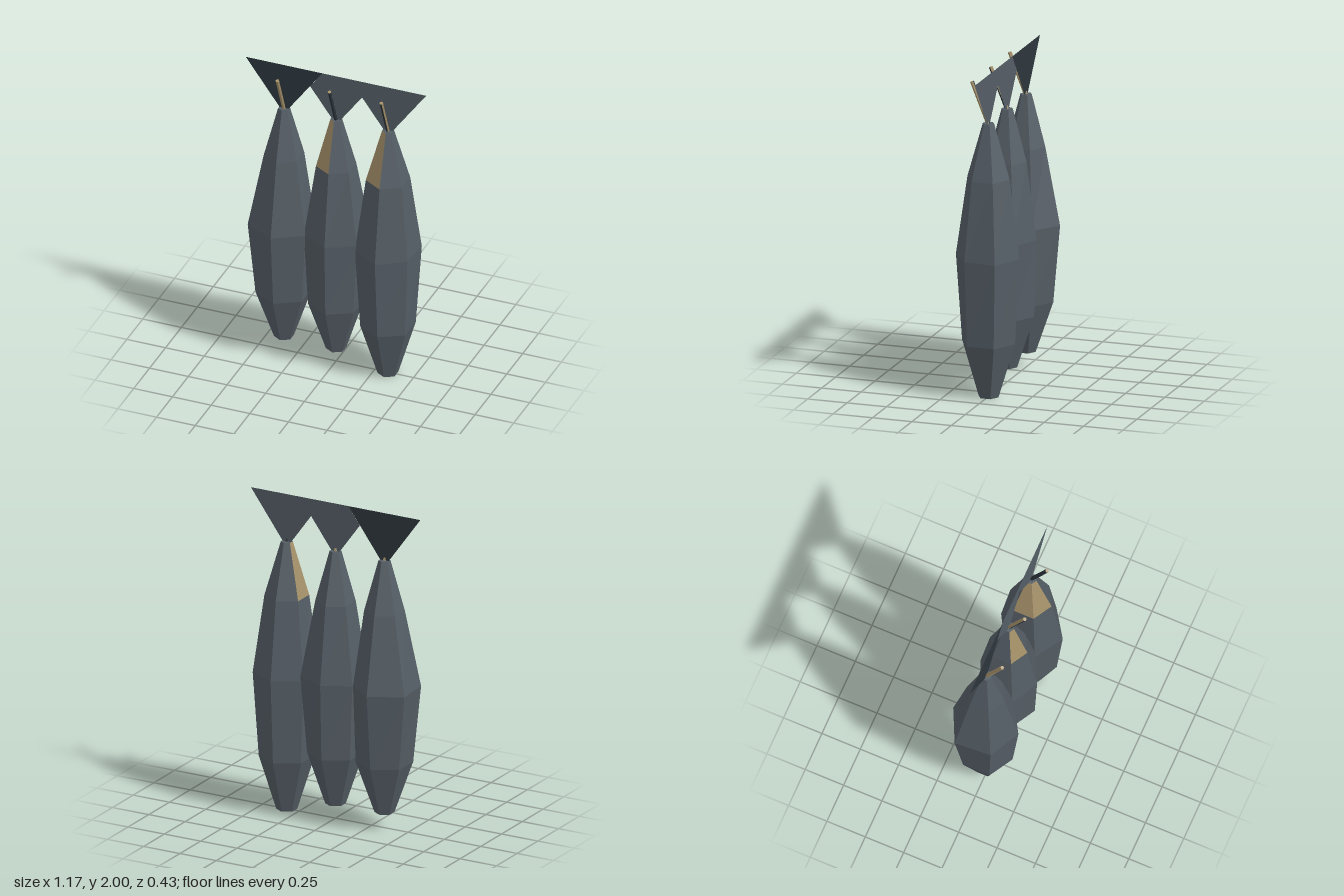
import * as THREE from 'three';

const slate = new THREE.MeshStandardMaterial({ color: 0x555e66, side: THREE.DoubleSide });
slate.name = 'slate';
const dark = new THREE.MeshStandardMaterial({ color: 0x2d363d, side: THREE.DoubleSide });
dark.name = 'dark slate';
const tan = new THREE.MeshStandardMaterial({ color: 0xa6926a });
tan.name = 'tan';

const SIDES = 6;

// Each pod: rings from bottom to top as [height, radius or six radii (from +z towards +x)],
// tan sides of the neck, dark sides of the stalk
const PODS = [
  {
    name: 'rightPod', x: -0.337, sheet: dark, tanSides: [], darkStalk: [],
    rings: [[0.1, 0.06], [0.42, 0.172], [0.9, [0.21, 0.207, 0.188, 0.215, 0.235, 0.219]], [1.38, 0.122], [1.7, 0.036]],
  },
  {
    name: 'middlePod', x: 0, sheet: slate, tanSides: [5], darkStalk: [5, 0, 1],
    rings: [[0.095, 0.062], [0.42, 0.17], [0.9, [0.185, 0.2, 0.21, 0.185, 0.2, 0.195]], [1.38, 0.122], [1.7, 0.036]],
  },
  {
    name: 'leftPod', x: 0.335, sheet: slate, tanSides: [4, 5], darkStalk: [0, 5, 3, 4],
    rings: [[0, 0.063], [0.34, 0.168], [0.87, [0.207, 0.19, 0.204, 0.195, 0.195, 0.2]], [1.36, 0.134], [1.7, 0.036]],
  },
];

function facetMesh(name, points, material) {
  const geometry = new THREE.BufferGeometry().setFromPoints(points);
  geometry.computeVertexNormals();
  const mesh = new THREE.Mesh(geometry, material);
  mesh.name = name;
  return mesh;
}

// Six-sided faceted body with flat ends
function makeBody({ rings, tanSides }) {
  const point = (i, k) => {
    const [y, r] = rings[i];
    const radius = Array.isArray(r) ? r[k % SIDES] : r;
    const a = (k * Math.PI * 2) / SIDES;
    return new THREE.Vector3(Math.sin(a) * radius, y, Math.cos(a) * radius);
  };
  const shell = [], patch = [];
  const last = rings.length - 1;
  const bottom = new THREE.Vector3(0, rings[0][0], 0);
  const top = new THREE.Vector3(0, rings[last][0], 0);
  for (let k = 0; k < SIDES; k++) {
    for (let i = 0; i < last; i++) {
      const a = point(i, k), b = point(i, k + 1), c = point(i + 1, k + 1), d = point(i + 1, k);
      const target = i === last - 1 && tanSides.includes(k) ? patch : shell;
      target.push(a, b, c, a, c, d);
    }
    shell.push(bottom, point(0, k + 1), point(0, k), top, point(last, k), point(last, k + 1));
  }
  const parts = [facetMesh('podBody', shell, slate)];
  if (patch.length) parts.push(facetMesh('neckPatch', patch, tan));
  return parts;
}

// Thin stalk leaning forward from the neck
function makeStalk({ darkStalk }) {
  const base = new THREE.Vector3(0, 1.69, 0), tip = new THREE.Vector3(0, 1.95, 0.105);
  const axis = tip.clone().sub(base);
  const geometry = new THREE.CylinderGeometry(0.012, 0.012, axis.length(), SIDES, 1, false, -Math.PI / 6).toNonIndexed();
  geometry.computeVertexNormals();
  geometry.clearGroups();
  for (let k = 0; k < SIDES; k++) geometry.addGroup(k * 6, 6, darkStalk.includes(k) ? 1 : 0);
  geometry.addGroup(SIDES * 6, SIDES * 6, 0);
  const stalk = new THREE.Mesh(geometry, [tan, dark]);
  stalk.name = 'stalk';
  stalk.position.copy(base).add(tip).multiplyScalar(0.5);
  stalk.quaternion.setFromUnitVectors(new THREE.Vector3(0, 1, 0), axis.normalize());
  return stalk;
}

// Flat triangular sheet above the neck; the middle one is trimmed where the dark one overlaps it
function makeSheet({ x, sheet }) {
  const outline = [[0, 1.66], [0.247, 2]];
  if (x === 0) outline.push([-0.09, 2], [-0.168, 1.891]);
  else outline.push([-0.247, 2]);
  const shape = new THREE.Shape(outline.map(([px, py]) => new THREE.Vector2(px, py)));
  const mesh = new THREE.Mesh(new THREE.ShapeGeometry(shape), sheet);
  mesh.name = 'hangingSheet';
  return mesh;
}

export function createModel() {
  const model = new THREE.Group();
  model.name = 'hangingPods';
  for (const spec of PODS) {
    const pod = new THREE.Group();
    pod.name = spec.name;
    pod.position.x = spec.x;
    pod.add(...makeBody(spec), makeStalk(spec), makeSheet(spec));
    model.add(pod);
  }
  return model;
}
